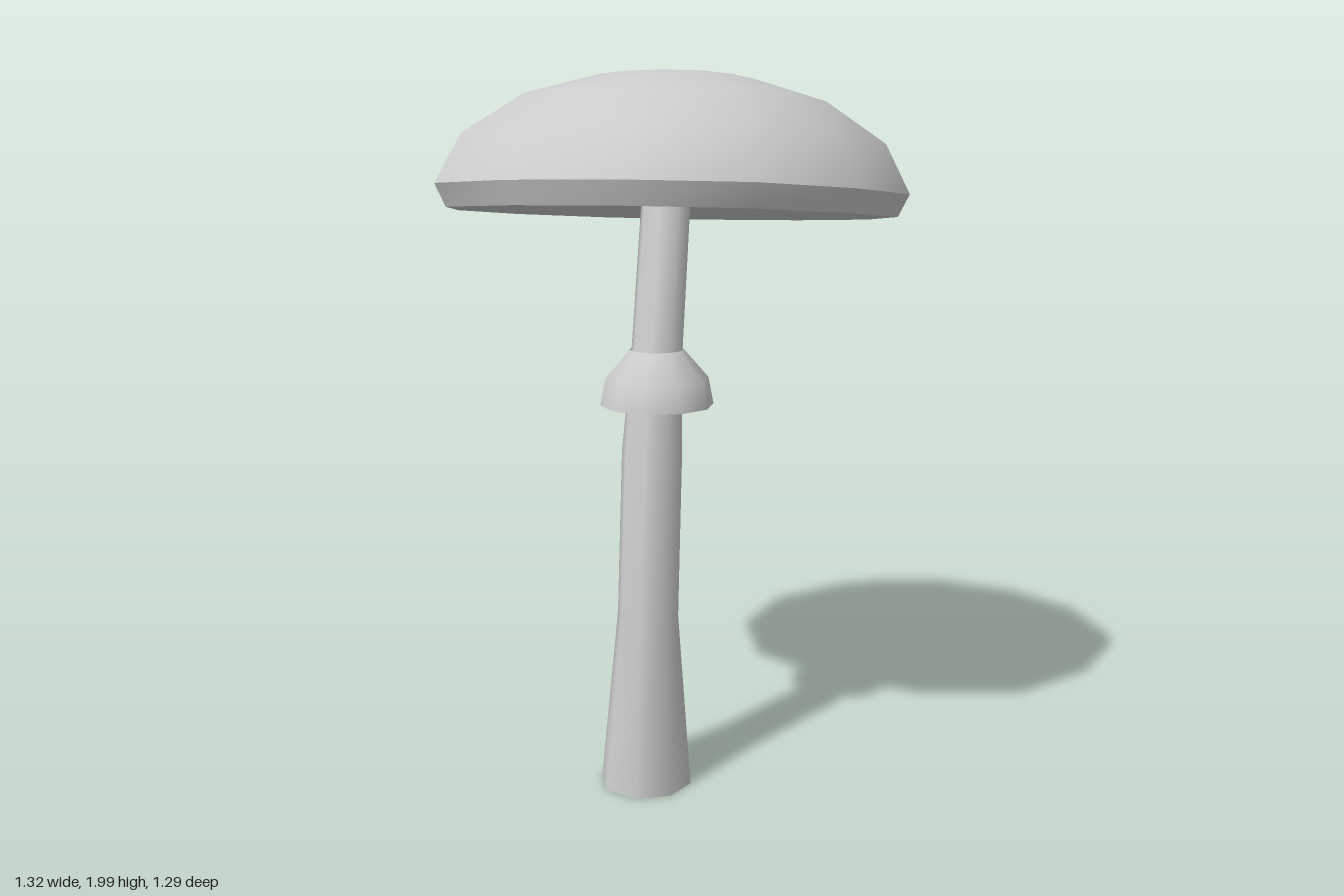
import * as THREE from 'three';
import { toCreasedNormals } from 'three/addons/utils/BufferGeometryUtils.js';

const grey = new THREE.MeshStandardMaterial({ color: 0xcccccc, side: THREE.DoubleSide });
grey.name = 'pale grey';

// Skins a stack of rings; each ring is { c: [x, y, z], r: radius, tilt } around a unit outline.
function loft(name, outline, rings) {
  const n = outline.length, positions = [], index = [];
  rings.forEach(({ c, r, tilt = 0 }) => outline.forEach(([x, z]) => {
    const p = new THREE.Vector3(x * r, 0, z * r).applyAxisAngle(new THREE.Vector3(1, 0, 0), tilt);
    positions.push(p.x + c[0], p.y + c[1], p.z + c[2]);
  }));
  for (let j = 0; j < rings.length - 1; j++) {
    for (let i = 0; i < n; i++) {
      const k = (i + 1) % n, a = j * n + i, b = j * n + k;
      if (rings[j + 1].r > 0) index.push(a, b, b + n, a, b + n, a + n);
      else index.push(a, b, a + n);
    }
  }
  const g = new THREE.BufferGeometry();
  g.setAttribute('position', new THREE.Float32BufferAttribute(positions, 3));
  g.setIndex(index);
  const mesh = new THREE.Mesh(toCreasedNormals(g, 0.81), grey);
  mesh.name = name;
  return mesh;
}

function circle(n) {
  return Array.from({ length: n }, (_, i) => {
    const a = (i / n) * Math.PI * 2;
    return [Math.sin(a), Math.cos(a)];
  });
}

export function createModel() {
  const group = new THREE.Group();
  group.name = 'mushroom';

  // Curved stem, open at the base and flared toward the ground
  group.add(loft('stem', circle(8), [
    { c: [-0.025, 0.006, 0.26], r: 0.13 },
    { c: [-0.022, 0.5, 0.242], r: 0.087, tilt: -0.06 },
    { c: [-0.02, 0.95, 0.195], r: 0.086, tilt: -0.22 },
    { c: [-0.02, 1.23, 0.128], r: 0.073, tilt: -0.27 },
    { c: [-0.017, 1.73, -0.005], r: 0.07, tilt: -0.27 },
  ]));

  // Thin hanging skirt around the stem
  group.add(loft('skirt', circle(10), [
    { c: [-0.018, 1.08, 0.137], r: 0.16 },
    { c: [-0.018, 1.155, 0.135], r: 0.145 },
    { c: [-0.02, 1.235, 0.13], r: 0.076 },
  ]));

  // Slightly irregular twelve-sided cap: hollow underside, rim, then crown
  const outline = [
    [0, 0.645], [0.33, 0.58], [0.545, 0.32], [0.66, 0], [0.545, -0.33], [0.3, -0.55],
    [-0.03, -0.65], [-0.35, -0.55], [-0.575, -0.3], [-0.66, 0.02], [-0.58, 0.35], [-0.32, 0.56],
  ].map(([x, z]) => [x / 0.65, z / 0.65]);
  const profile = [
    [0.065, 0.055], [0.095, 0.02], [0.62, -0.062], [0.65, 0],
    [0.582, 0.135], [0.417, 0.25], [0.216, 0.312], [0, 0.326],
  ];
  const cap = loft('cap', outline, profile.map(([r, h]) => ({ c: [0, h, 0], r })));
  cap.position.set(0, 1.665, 0);
  cap.rotation.x = -0.1;
  group.add(cap);

  return group;
}
